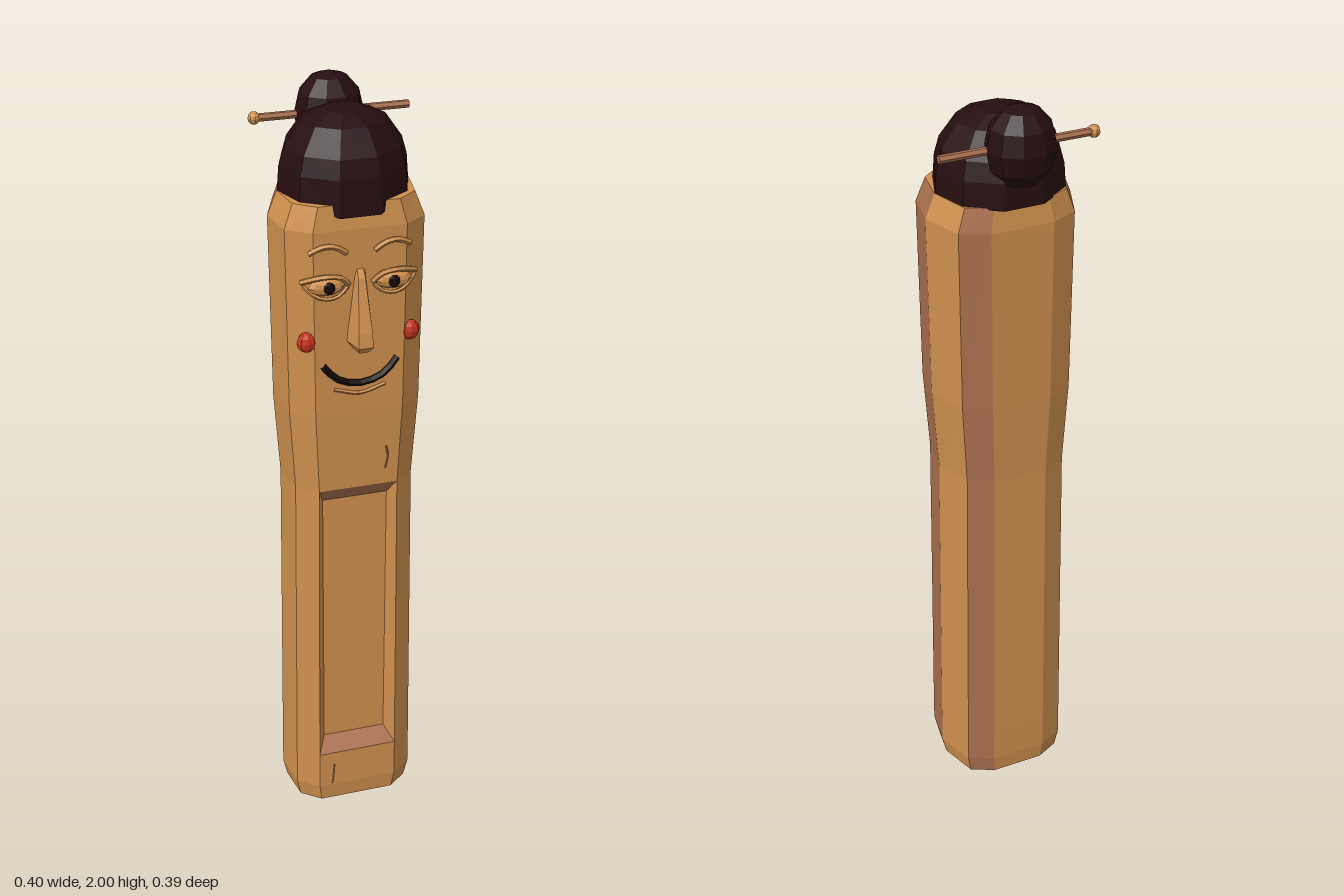
import * as THREE from 'three';

const mat = (name, color) => Object.assign(new THREE.MeshStandardMaterial({ color }), { name });

export function createModel() {
  const wood = mat('honey wood', 0xcf904e);
  const redWood = mat('reddish wood', 0xab704f);
  const hairMat = mat('dark hair', 0x260d10);
  const red = mat('cheek red', 0xc8351e);
  const ink = mat('black paint', 0x140a08);

  const model = new THREE.Group();
  model.name = 'carvedFigure';

  // Adds a mesh with faceted normals
  const add = (name, geo, material, x = 0, y = 0, z = 0) => {
    const flat = geo.index ? geo.toNonIndexed() : geo;
    flat.computeVertexNormals();
    const mesh = new THREE.Mesh(flat, material);
    mesh.name = name;
    mesh.position.set(x, y, z);
    model.add(mesh);
    return mesh;
  };
  const tri = (out, a, b, c) => out.push(...a, ...b, ...c);
  const quad = (out, a, b, c, d) => { tri(out, a, b, c); tri(out, a, c, d); };
  const fromList = (list) => new THREE.BufferGeometry()
    .setAttribute('position', new THREE.Float32BufferAttribute(list, 3));
  const tube = (points, r, sides = 5) => new THREE.TubeGeometry(
    new THREE.CatmullRomCurve3(points.map((p) => new THREE.Vector3(...p))), 8, r, sides);
  const blob = (rx, ry, rz, w = 8, h = 6) => new THREE.SphereGeometry(1, w, h).scale(rx, ry, rz);

  // Post: faceted cross-section lofted through height, [x, z] from front left round the back
  const section = [[0.115, 0.143], [0.172, 0.1], [0.188, 0], [0.15, -0.107], [0.08, -0.138],
    [-0.08, -0.138], [-0.148, -0.107], [-0.188, 0], [-0.172, 0.1], [-0.115, 0.143]];
  const levels = [[0, 0.88, 0.94], [0.05, 0.94, 0.98], [0.16, 0.935, 0.98], [1, 0.89, 0.96],
    [1.22, 0.97, 1], [1.7, 1, 1], [1.76, 0.87, 0.93]];
  const rings = levels.map(([y, sx, sz]) => section.map(([x, z]) => [x * sx, y, z * sz]));
  const n = section.length;
  const redSides = [1, 3, 6];
  const recessLevel = 2;
  const woodFaces = [];
  const redFaces = [];
  for (let k = 0; k < rings.length - 1; k++) {
    for (let i = 0; i < n; i++) {
      if (i === n - 1 && k === recessLevel) continue;
      const j = (i + 1) % n;
      quad(redSides.includes(i) ? redFaces : woodFaces,
        rings[k][i], rings[k][j], rings[k + 1][j], rings[k + 1][i]);
    }
  }
  const top = rings[rings.length - 1];
  for (let i = 1; i < n - 1; i++) {
    tri(woodFaces, top[0], top[i], top[i + 1]);
    tri(redFaces, rings[0][0], rings[0][i + 1], rings[0][i]);
  }

  // Sunken front panel with bevelled rim
  const lo = rings[recessLevel];
  const hi = rings[recessLevel + 1];
  const rim = [lo[n - 1], lo[0], hi[0], hi[n - 1]];
  const floor = [[-0.085, 0.2, 0.105], [0.085, 0.2, 0.105], [0.085, 0.955, 0.105], [-0.085, 0.955, 0.105]];
  for (let i = 0; i < 4; i++) {
    const j = (i + 1) % 4;
    quad(i % 2 ? woodFaces : redFaces, rim[i], rim[j], floor[j], floor[i]);
  }
  quad(woodFaces, ...floor);
  add('post', fromList(woodFaces), wood);
  add('postDarkFacets', fromList(redFaces), redWood);

  // Nose: tapered wedge
  const noseRings = [[1.395, 0.02, 0.178], [1.415, 0.034, 0.197], [1.45, 0.031, 0.193],
    [1.58, 0.016, 0.158], [1.6, 0.014, 0.143]].map(([y, w, z]) =>
    [[-w, y, 0.135], [-w * 0.55, y, z], [w * 0.55, y, z], [w, y, 0.135]]);
  const nose = [];
  for (let k = 0; k < noseRings.length - 1; k++) {
    for (let i = 0; i < 3; i++) {
      quad(nose, noseRings[k][i], noseRings[k][i + 1], noseRings[k + 1][i + 1], noseRings[k + 1][i]);
    }
  }
  quad(nose, ...[...noseRings[0]].reverse());
  add('nose', fromList(nose), wood);

  // Paired face parts
  for (const s of [1, -1]) {
    const side = s > 0 ? 'left' : 'right';
    const arc = (pts) => pts.map(([x, y, z]) => [s * x, y, z]);
    add(side + 'Eye', blob(0.046, 0.022, 0.018), wood, s * 0.083, 1.563, 0.142);
    add(side + 'Pupil', blob(0.014, 0.016, 0.006), ink, s * 0.08, 1.565, 0.16);
    add(side + 'UpperLid', tube(arc([[0.03, 1.565, 0.147], [0.05, 1.588, 0.158], [0.085, 1.595, 0.16],
      [0.115, 1.588, 0.148], [0.143, 1.575, 0.13]]), 0.007), wood);
    add(side + 'LowerLid', tube(arc([[0.032, 1.56, 0.147], [0.055, 1.54, 0.153], [0.085, 1.535, 0.154],
      [0.115, 1.545, 0.145], [0.138, 1.567, 0.133]]), 0.005), wood);
    add(side + 'Brow', tube(arc([[0.035, 1.645, 0.147], [0.06, 1.663, 0.151], [0.09, 1.667, 0.15],
      [0.125, 1.65, 0.14]]), 0.007), wood);
    add(side + 'Cheek', blob(0.025, 0.026, 0.018), red, s * 0.13, 1.42, 0.133);
  }

  // Smile and chin crease
  add('mouth', tube([[-0.094, 1.358, 0.145], [-0.06, 1.32, 0.148], [0, 1.302, 0.15],
    [0.06, 1.32, 0.148], [0.094, 1.358, 0.145]], 0.009), ink);
  add('chinCrease', tube([[-0.065, 1.288, 0.142], [0, 1.272, 0.144], [0.065, 1.288, 0.142]], 0.005), wood);

  // Small carved cracks
  add('upperCrack', tube([[0.07, 1.045, 0.138], [0.076, 1.08, 0.139], [0.071, 1.11, 0.141]], 0.0025, 4), redWood);
  add('lowerCrack', tube([[-0.072, 0.055, 0.139], [-0.068, 0.085, 0.139], [-0.066, 0.12, 0.139]], 0.0025, 4), redWood);

  // Hair cap, dipping at the forehead
  const hair = new THREE.LatheGeometry([[0, 1.75], [0.163, 1.755], [0.158, 1.82], [0.145, 1.865],
    [0.103, 1.925], [0.05, 1.947], [0, 1.95]].map((p) => new THREE.Vector2(...p)), 10, Math.PI / 10);
  const p = hair.attributes.position;
  for (let i = 0; i < p.count; i++) {
    if (p.getY(i) < 1.76 && p.getZ(i) > 0.1) p.setY(i, 1.73);
    p.setZ(i, p.getZ(i) * 0.935);
  }
  add('hair', hair, hairMat);

  // Bun and hairpin
  add('bun', blob(0.087, 0.1, 0.078, 10, 6), hairMat, 0, 1.9, -0.122);
  add('hairpin', new THREE.CylinderGeometry(0.01, 0.01, 0.385, 6).rotateZ(Math.PI / 2), redWood, 0.0075, 1.9, -0.118);
  add('hairpinKnob', blob(0.015, 0.016, 0.016), wood, -0.186, 1.9, -0.118);

  return model;
}
